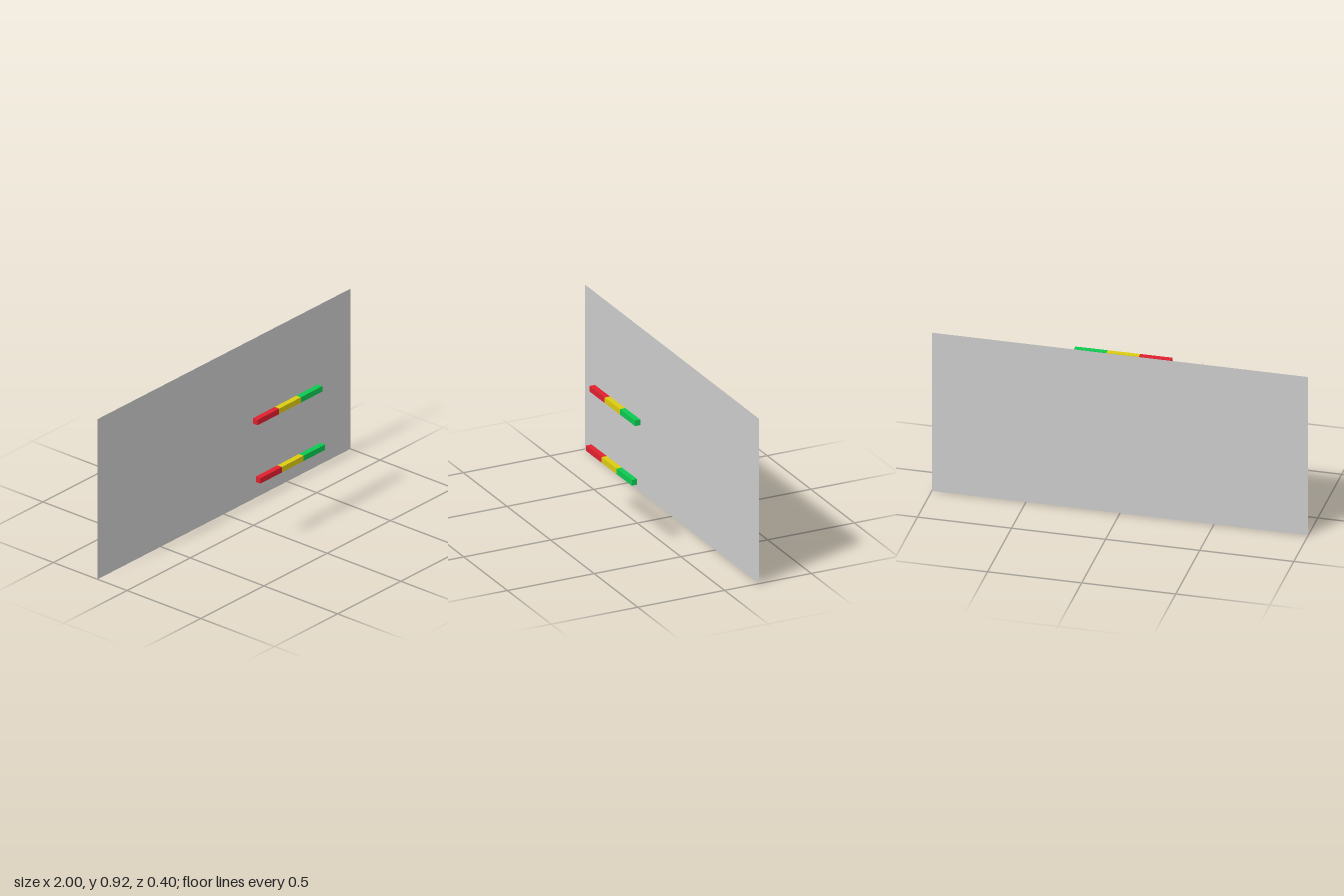
import * as THREE from 'three';

export function createModel() {
  const model = new THREE.Group();
  const paint = (name, color) => {
    const m = new THREE.MeshStandardMaterial({ color });
    m.name = name;
    return m;
  };
  const grey = paint('panel grey', 0xcccccc);
  grey.side = THREE.DoubleSide;
  const colours = [
    ['red', paint('red', 0xe0202e)],
    ['yellow', paint('yellow', 0xdccc10)],
    ['green', paint('green', 0x0cc850)],
  ];

  // Flat sheet behind the bars
  const panel = new THREE.Mesh(new THREE.PlaneGeometry(2, 0.92), grey);
  panel.name = 'backPanel';
  panel.position.set(0, 0.46, -0.2);
  model.add(panel);

  // Bar of three coloured segments, turned very slightly about y
  const length = 0.172;
  const segment = new THREE.BoxGeometry(length, 0.031, 0.031);
  function addBar(name, y, z) {
    const bar = new THREE.Group();
    bar.name = name;
    colours.forEach(([colour, material], i) => {
      const mesh = new THREE.Mesh(segment, material);
      mesh.name = colour + 'Segment';
      mesh.position.x = (i - 1) * length;
      bar.add(mesh);
    });
    bar.position.set(0.076, y, z);
    bar.rotation.y = 0.006;
    model.add(bar);
  }
  addBar('upperBar', 0.717, 0.167);
  addBar('lowerBar', 0.388, 0.186);

  return model;
}
